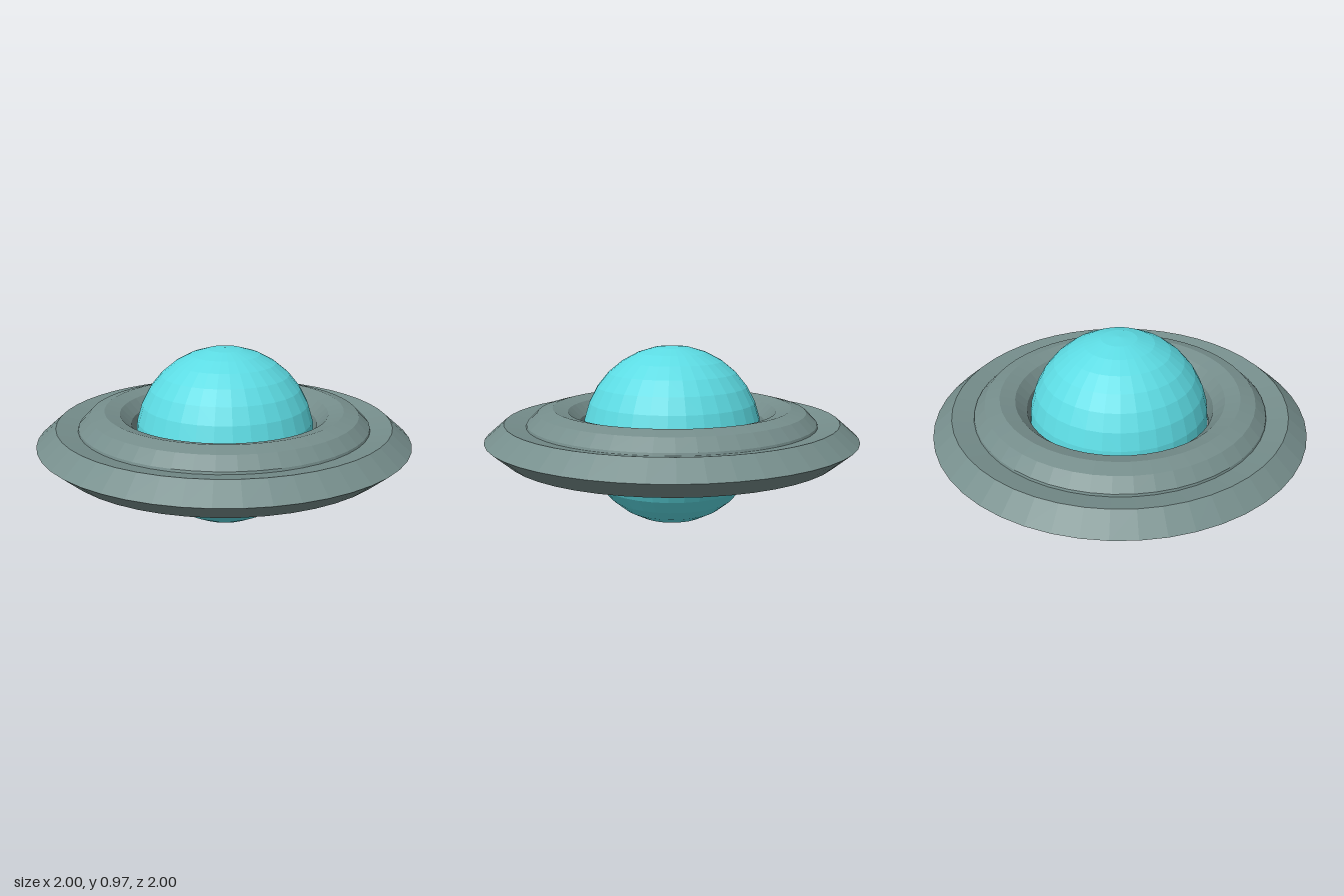
import * as THREE from 'three';

const MID = 0.485; // height of the ring plane
const SPHERE_R = 0.483;

// Flat-shaded ring lying in the xz plane, with a few-sided tube
function ring(name, radius, tube, sides, heightScale, material) {
  const geometry = new THREE.TorusGeometry(radius, tube, sides, 48);
  geometry.rotateX(-Math.PI / 2);
  geometry.scale(1, heightScale, 1);
  const mesh = new THREE.Mesh(geometry, material);
  mesh.name = name;
  mesh.position.y = MID;
  return mesh;
}

export function createModel() {
  const group = new THREE.Group();
  group.name = 'ringedPlanet';

  const planetMaterial = new THREE.MeshStandardMaterial({ color: 0x5cdbe3, flatShading: true });
  const ringMaterial = new THREE.MeshStandardMaterial({ color: 0x768e8c, flatShading: true });

  // Planet, a hair off the ring axis
  const planet = new THREE.Mesh(new THREE.SphereGeometry(SPHERE_R, 32, 16), planetMaterial);
  planet.name = 'planet';
  planet.position.set(0.004, MID, -0.004);
  group.add(planet);

  // Thick inner ring and the sharp-rimmed flattened outer ring
  group.add(ring('innerRing', 0.64, 0.16, 12, 1, ringMaterial));
  group.add(ring('outerRing', 0.848, 0.152, 5, 0.625, ringMaterial));

  return group;
}
